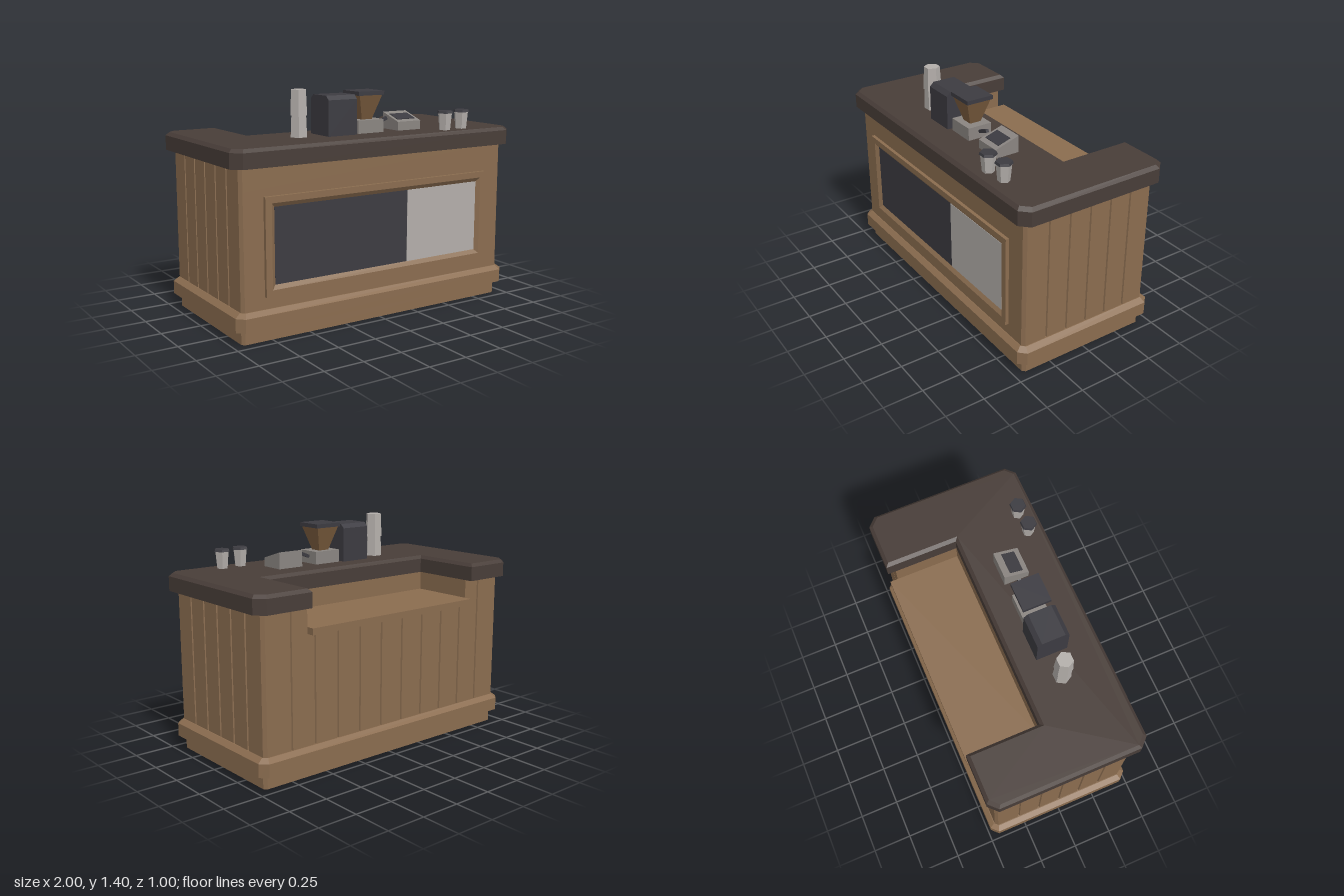
import * as THREE from 'three';

const flatMat = (name, color) => {
  const m = new THREE.MeshStandardMaterial({ color });
  m.name = name;
  return m;
};

// Stack of equal-length outlines [x, z], each at its height, joined by flat faces
function loft(layers, capped = true) {
  const v = [];
  const at = (l, i) => {
    const p = l.pts[i % l.pts.length];
    return [p[0], l.y, p[1]];
  };
  for (let k = 0; k + 1 < layers.length; k++) {
    const lo = layers[k], hi = layers[k + 1];
    for (let i = 0; i < lo.pts.length; i++) {
      const a = at(lo, i), b = at(lo, i + 1), c = at(hi, i + 1), d = at(hi, i);
      v.push(...a, ...b, ...c, ...a, ...c, ...d);
    }
  }
  const cap = (l, up) => {
    const flat = l.pts.map(([x, z]) => new THREE.Vector2(x, -z));
    for (const [a, b, c] of THREE.ShapeUtils.triangulateShape(flat, [])) {
      const ccw = THREE.ShapeUtils.area([flat[a], flat[b], flat[c]]) > 0;
      for (const i of ccw === up ? [a, b, c] : [a, c, b]) v.push(...at(l, i));
    }
  };
  if (capped) {
    cap(layers[0], false);
    cap(layers[layers.length - 1], true);
  }
  const g = new THREE.BufferGeometry();
  g.setAttribute('position', new THREE.Float32BufferAttribute(v, 3));
  g.computeVertexNormals();
  return g;
}

// Outlines run counter-clockwise as seen from above
const rect = (x, z) => [[x, z], [x, -z], [-x, -z], [-x, z]];
const chamferRect = (x, z, c) => [
  [x - c, z], [x, z - c], [x, c - z], [x - c, -z],
  [c - x, -z], [-x, c - z], [-x, z - c], [c - x, z],
];

// Planked cabinet outline, grooved on both sides and the back
function cabinetOutline(notched) {
  const X = 0.945, Z = 0.45, C = 0.018, w = 0.007, d = 0.01;
  const side = [];
  for (let k = 2; k >= -2; k--) {
    const z = k * 0.143;
    side.push([X, z + w], [X - d, z + w / 2], [X - d, z - w / 2], [X, z - w]);
  }
  const back = [];
  for (let k = 0; k < 10; k++) {
    const x = (4.5 - k) * 0.168;
    if (notched && Math.abs(x) < 0.64) continue;
    if (notched && k === 9) back.push([0.64, -Z], [0.64, -0.04], [-0.64, -0.04], [-0.64, -Z]);
    back.push([x + w, -Z], [x + w / 2, d - Z], [x - w / 2, d - Z], [x - w, -Z]);
  }
  const mirrored = side.map(([x, z]) => [-x, z]).reverse();
  return [[X - C, Z], [X, Z - C], ...side, [X, C - Z], [X - C, -Z], ...back,
    [C - X, -Z], [-X, C - Z], ...mirrored, [-X, Z - C], [C - X, Z]];
}

// U-shaped worktop outline, drawn in by b for the bevelled edge
function topOutline(b) {
  const X = 1 - b, Z = 0.5 - b, c = 0.055 - b * 0.3, nx = 0.64 + b, nz = -0.04 + b;
  return [[X - c, Z], [X, Z - c], [X, c - Z], [X - c, -Z], [nx, -Z], [nx, nz],
    [-nx, nz], [-nx, -Z], [c - X, -Z], [-X, c - Z], [-X, Z - c], [c - X, Z]];
}

export function createModel() {
  const wood = flatMat('wood', 0x8a6c4f);
  const worktop = flatMat('dark worktop', 0x483d38);
  const dark = flatMat('charcoal', 0x3c3b41);
  const pale = flatMat('pale grey', 0xb3aeaa);
  const grey = flatMat('appliance grey', 0x8a8581);
  const amber = flatMat('hopper brown', 0x7c5d3e);

  const model = new THREE.Group();
  model.name = 'serviceCounter';
  const add = (name, geo, mat, x = 0, y = 0, z = 0, parent = model) => {
    const m = new THREE.Mesh(geo, mat);
    m.name = name;
    m.position.set(x, y, z);
    parent.add(m);
    return m;
  };
  const group = (name, x, z) => {
    const g = new THREE.Group();
    g.name = name;
    g.position.set(x, 1.12, z);
    model.add(g);
    return g;
  };
  const box = (w, h, d) => new THREE.BoxGeometry(w, h, d);
  // Six-sided tapered cup with points along x
  const hex = (rTop, rBottom, h) => {
    const g = new THREE.CylinderGeometry(rTop, rBottom, h, 6).toNonIndexed();
    g.rotateY(Math.PI / 6).computeVertexNormals();
    return g;
  };

  // Cabinet
  const plinth = chamferRect(0.94, 0.44, 0.018);
  add('plinth', loft([{ y: 0, pts: plinth }, { y: 0.09, pts: plinth }]), wood);
  const skirt = chamferRect(0.983, 0.485, 0.043);
  add('baseMoulding', loft([{ y: 0.085, pts: skirt }, { y: 0.167, pts: skirt },
    { y: 0.192, pts: chamferRect(0.95, 0.455, 0.025) }]), wood);
  const lower = cabinetOutline(false), upper = cabinetOutline(true);
  add('cabinet', loft([{ y: 0.18, pts: lower }, { y: 0.875, pts: lower }]), wood);
  add('cabinetTop', loft([{ y: 0.875, pts: upper }, { y: 1.01, pts: upper }]), wood);
  add('backShelf', box(1.28, 0.04, 0.46), wood, 0, 0.875, -0.27);

  // Worktop
  add('worktop', loft([{ y: 1.01, pts: topOutline(0) }, { y: 1.1, pts: topOutline(0) },
    { y: 1.12, pts: topOutline(0.02) }]), worktop);

  // Front panel with its bevelled frame
  const frame = loft([{ y: 0.445, pts: rect(0.8, 0.288) }, { y: 0.472, pts: rect(0.8, 0.288) },
    { y: 0.472, pts: rect(0.76, 0.25) }, { y: 0.45, pts: rect(0.73, 0.22) }], false);
  add('frontFrame', frame.rotateX(Math.PI / 2), wood, 0, 0.553, 0);
  add('darkPanel', box(0.925, 0.45, 0.006), dark, -0.2725, 0.553, 0.451);
  add('palePanel', box(0.545, 0.45, 0.009), pale, 0.4625, 0.553, 0.4515);

  // Cup stack
  const stack = group('cupStack', -0.425, 0.2);
  add('lowerCup', hex(0.05, 0.056, 0.13), pale, 0, 0.065, 0, stack);
  add('upperCup', hex(0.05, 0.057, 0.15), pale, 0, 0.205, 0, stack);

  // Machine body with sloped upper edges
  const machine = group('coffeeMachine', -0.18, 0.2);
  add('machineBody', loft([{ y: 0, pts: rect(0.1, 0.1) }, { y: 0.215, pts: rect(0.1, 0.1) },
    { y: 0.24, pts: rect(0.1, 0.073) }]), dark, 0, 0, 0, machine);

  // Grinder with square funnel
  const grinder = group('grinder', 0.037, 0.197);
  add('grinderBase', box(0.185, 0.08, 0.16), grey, 0, 0.04, 0.003, grinder);
  add('hopper', loft([{ y: 0.08, pts: rect(0.037, 0.037) }, { y: 0.232, pts: rect(0.083, 0.083) }]),
    amber, 0, 0, 0, grinder);
  add('hopperLid', box(0.185, 0.025, 0.178), dark, 0, 0.242, 0, grinder);
  const handle = add('handle', box(0.085, 0.02, 0.02), dark, 0.132, 0.06, 0.003, grinder);
  handle.rotation.z = 0.38;

  // Wedge-shaped terminal, high at the back
  const terminal = group('paymentTerminal', 0.328, 0.2);
  const wedge = new THREE.Shape([[0.08, 0], [0.08, 0.055], [-0.08, 0.105], [-0.08, 0]]
    .map(([z, y]) => new THREE.Vector2(-z, y)));
  const wedgeGeo = new THREE.ExtrudeGeometry(wedge, { depth: 0.175, bevelEnabled: false });
  wedgeGeo.translate(0, 0, -0.0875).rotateY(Math.PI / 2);
  add('terminalBody', wedgeGeo, grey, 0, 0, 0, terminal);
  const screen = add('terminalScreen', box(0.135, 0.006, 0.088), dark, 0, 0.079, 0.006, terminal);
  screen.rotation.x = Math.atan2(0.05, 0.16);

  // Takeaway cups
  for (const [x, z] of [[0.518, 0.398], [0.657, 0.388]]) {
    const cup = group('takeawayCup', x, z);
    add('cupBody', hex(0.046, 0.036, 0.105), pale, 0, 0.0525, 0, cup);
    add('cupLid', hex(0.048, 0.053, 0.015), dark, 0, 0.1125, 0, cup);
  }
  return model;
}
